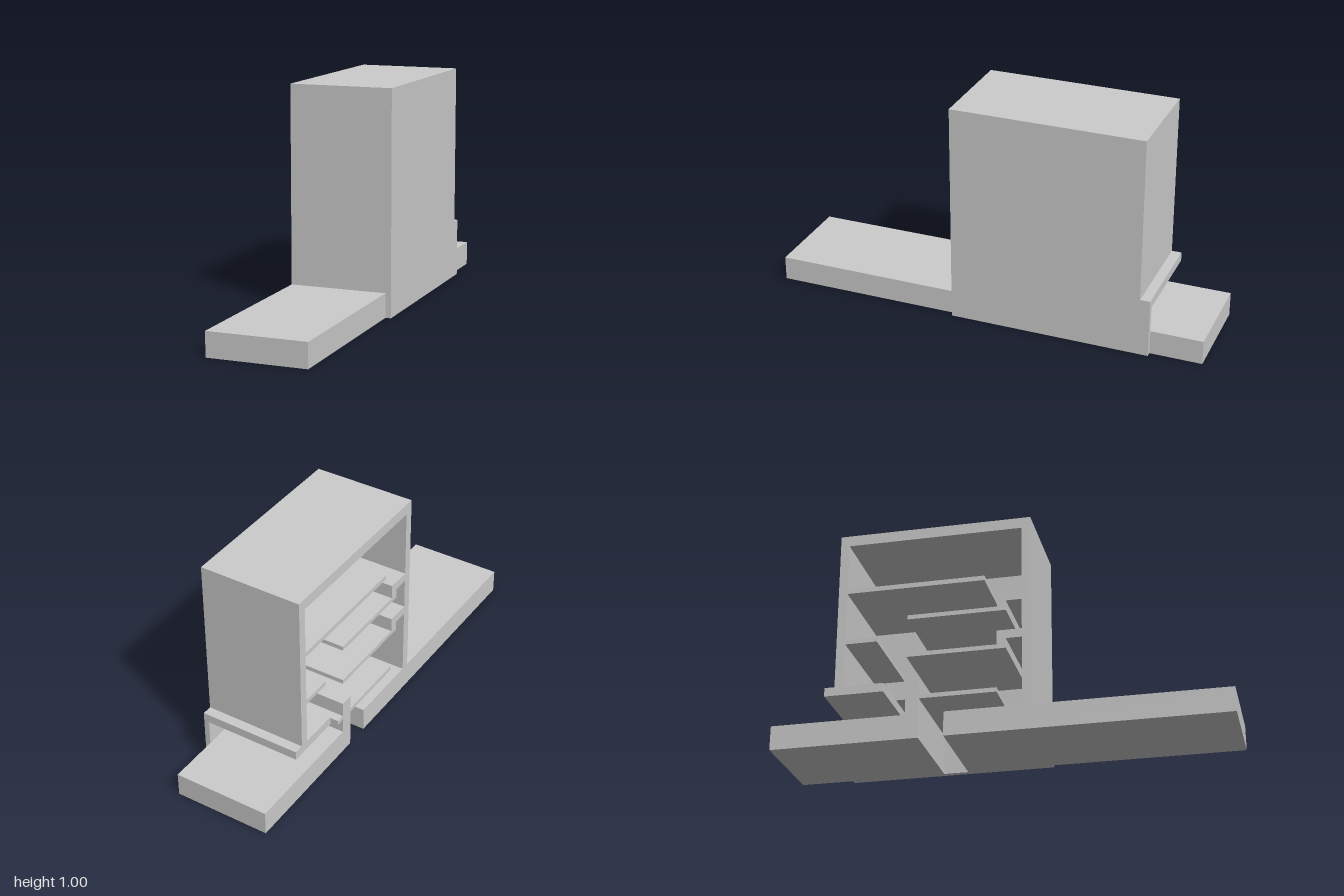
import * as THREE from 'three';

const grey = new THREE.MeshStandardMaterial({ color: 0xcccccc, flatShading: true });
const X0 = -0.235, X1 = 0.21, X2 = 0.235; // open side, inner face and outer face of the side panel

// Box given by its y and z limits, spanning the width of the body
function slab(parent, name, z0, z1, y0, y1, x0 = X0, x1 = X1) {
  const mesh = new THREE.Mesh(new THREE.BoxGeometry(x1 - x0, y1 - y0, z1 - z0), grey);
  mesh.position.set((x0 + x1) / 2, (y0 + y1) / 2, (z0 + z1) / 2);
  mesh.name = name;
  parent.add(mesh);
}

// Shelf hung from the front wall by a lip and a short step down
function steppedShelf(parent, y) {
  const g = new THREE.Group();
  g.name = 'steppedShelf';
  slab(g, 'shelfLip', 0, 0.11, y + 0.045, y + 0.085);
  slab(g, 'shelfStep', 0, 0.04, y, y + 0.045);
  slab(g, 'shelfPlate', -0.4, 0, y, y + 0.02);
  parent.add(g);
}

export function createModel() {
  const model = new THREE.Group();
  model.name = 'openCabinetOnBase';

  // Two base platforms with a gap between them
  slab(model, 'frontPlatform', -0.23, 1, 0, 0.11);
  slab(model, 'backPlatform', -1, -0.34, 0, 0.11);

  // Side panel, with a low step at the back
  const outline = [[-0.765, 0], [0.15, 0], [0.15, 1.005], [-0.72, 1.005], [-0.72, 0.268], [-0.765, 0.268]];
  const shape = new THREE.Shape(outline.map(([z, y]) => new THREE.Vector2(-z, y)));
  const side = new THREE.Mesh(
    new THREE.ExtrudeGeometry(shape, { depth: X2 - X1, bevelEnabled: false }), grey);
  side.rotation.y = Math.PI / 2;
  side.position.x = X1;
  side.name = 'sidePanel';
  model.add(side);

  // Cabinet walls and top
  slab(model, 'frontWall', 0.11, 0.15, 0.11, 0.955);
  slab(model, 'backWall', -0.72, -0.68, 0.268, 0.955);
  slab(model, 'topPanel', -0.72, 0.15, 0.955, 1.005);

  // Low passage at the back: ceiling and upright divider
  slab(model, 'passageCeiling', -0.765, -0.5, 0.228, 0.268);
  slab(model, 'passageDivider', -0.4, -0.34, 0.11, 0.268);

  // Staggered shelves
  slab(model, 'upperShelf', -0.68, -0.056, 0.715, 0.737);
  for (const y of [0.56, 0.38]) steppedShelf(model, y);
  slab(model, 'backLedge', -0.68, -0.536, 0.468, 0.49);
  slab(model, 'lowerShelf', -0.44, 0, 0.18, 0.2);

  return model;
}
